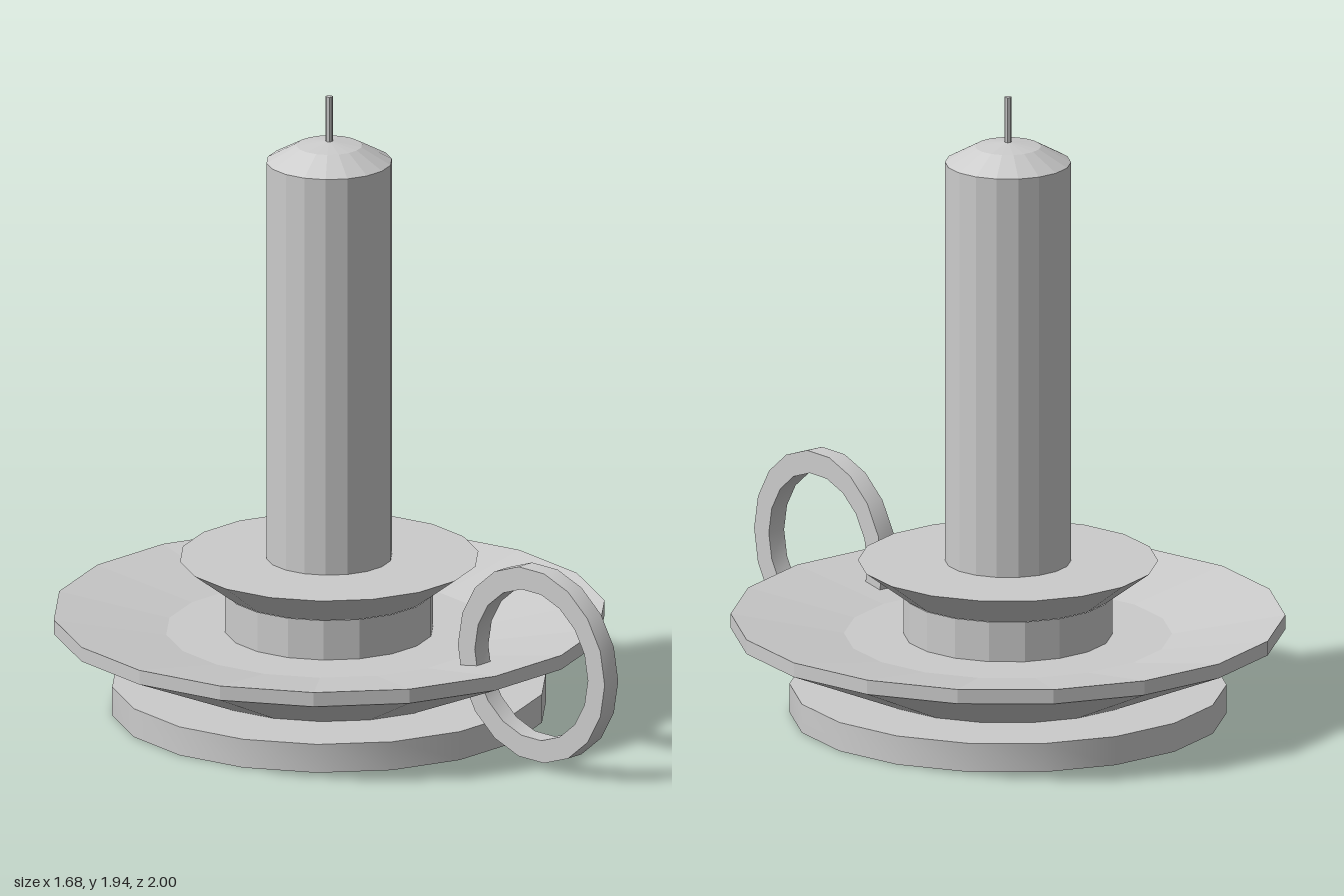
import * as THREE from 'three';
import { toCreasedNormals } from 'three/addons/utils/BufferGeometryUtils.js';

const SIDES = 18;
const AXIS_Z = -0.173; // centre line of candle and dishes

const flat = new THREE.MeshStandardMaterial({ color: 0xcccccc, flatShading: true });
const smooth = new THREE.MeshStandardMaterial({ color: 0xcccccc });

// Turns a profile of [radius, height] pairs, listed from bottom to top
function turn(profile, phiStart = Math.PI / 2, sides = SIDES) {
  const points = profile.map(([r, y]) => new THREE.Vector2(r, y));
  return new THREE.LatheGeometry(points, sides, phiStart);
}

export function createModel() {
  const model = new THREE.Group();

  const add = (name, geometry, material) => {
    const mesh = new THREE.Mesh(geometry, material);
    mesh.name = name;
    mesh.position.z = AXIS_Z;
    model.add(mesh);
    return mesh;
  };

  // Foot disc
  add('base', toCreasedNormals(turn([[0, 0], [0.662, 0], [0.662, 0.09], [0, 0.09]]), 0.6), smooth);

  // Wide saucer with a dished top and a flat floor
  add('saucer', turn([[0, 0.09], [0.43, 0.09], [0.84, 0.265], [0.84, 0.31], [0.497, 0.25], [0, 0.25]]), flat);

  // Collar under the drip tray
  add('neck', turn([[0.317, 0.25], [0.317, 0.375]]), flat);

  // Flared drip tray
  add('dripTray', turn([[0, 0.375], [0.315, 0.375], [0.455, 0.48], [0, 0.48]]), flat);

  // Candle with a domed top
  add('candle', turn([[0.191, 0.48], [0.191, 1.735], [0.1, 1.785], [0, 1.8]]), flat);

  // Wick
  add('wick', turn([[0.011, 1.79], [0.011, 1.94], [0, 1.94]], 0, 8), flat);

  // Finger ring with a rectangular section, standing upright at the front
  const inner = 0.235, outer = 0.305, half = 0.03;
  const section = [[inner, -half], [outer, -half], [outer, half], [inner, half], [inner, -half]];
  const handle = add('ringHandle', toCreasedNormals(turn(section, 0).rotateZ(Math.PI / 2), 0.6), smooth);
  handle.position.set(0, 0.328, 0.695);

  return model;
}
